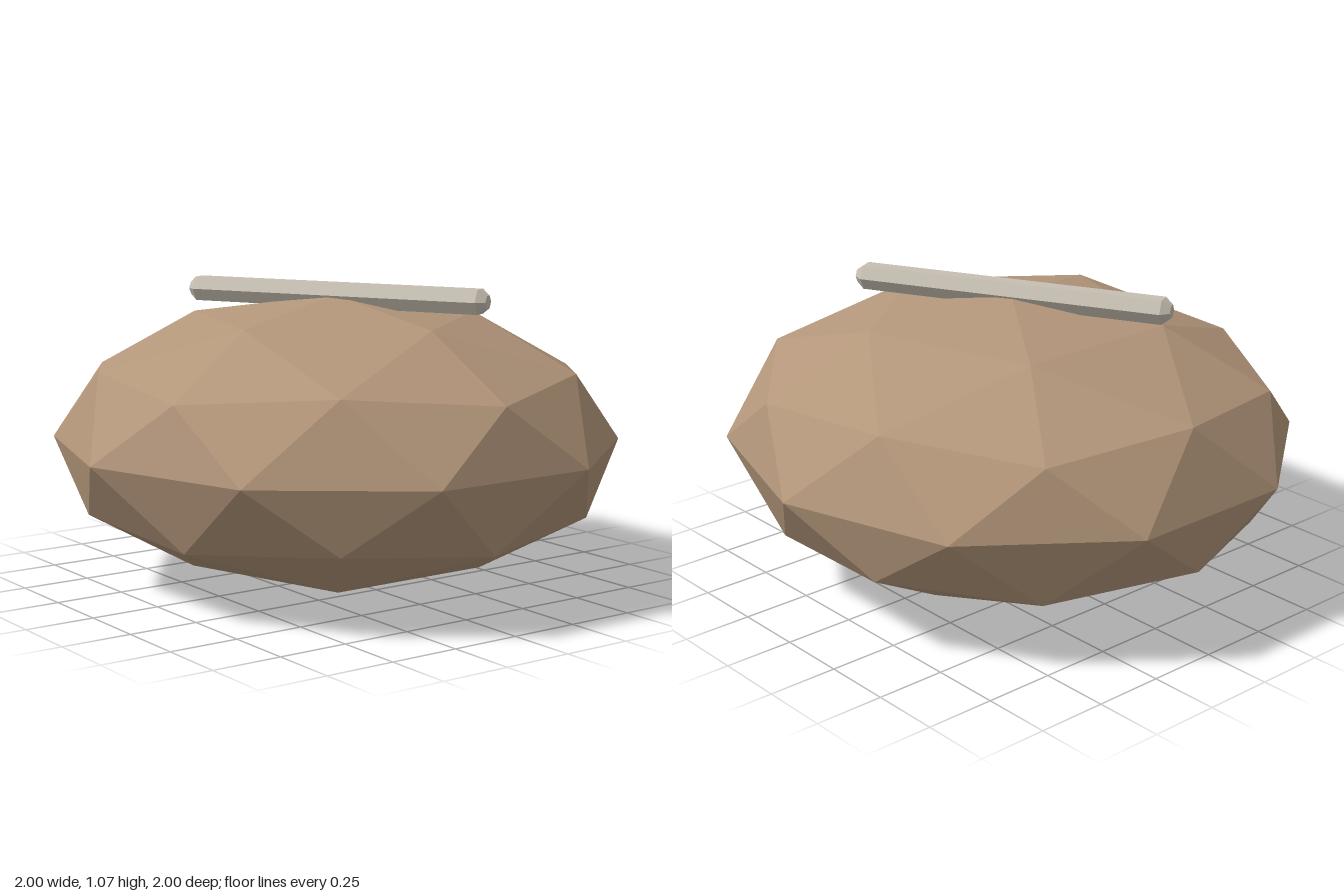
import * as THREE from 'three';

const stone = new THREE.MeshStandardMaterial({ color: 0xb3967a, flatShading: true });
stone.name = 'warm tan';
const pale = new THREE.MeshStandardMaterial({ color: 0xc6beb1, flatShading: true });
pale.name = 'pale grey';

export function createModel() {
  const group = new THREE.Group();
  group.name = 'stoneWithRod';

  // Flattened faceted body, turned so that a corner points straight up
  const phi = (1 + Math.sqrt(5)) / 2;
  const bodyGeo = new THREE.IcosahedronGeometry(1, 1);
  bodyGeo.rotateZ(-Math.atan(1 / phi));
  bodyGeo.scale(1 / Math.cos(Math.PI / 10), 0.515, 1);
  bodyGeo.computeVertexNormals();
  const body = new THREE.Mesh(bodyGeo, stone);
  body.name = 'body';
  body.position.y = 0.515;
  group.add(body);

  // Six-sided rod with chamfered ends, lying diagonally across the top
  const profile = [[0, -0.59], [0.025, -0.59], [0.05, -0.56], [0.05, 0.56], [0.025, 0.59], [0, 0.59]]
    .map(([r, y]) => new THREE.Vector2(r, y));
  const rodGeo = new THREE.LatheGeometry(profile, 6);
  rodGeo.rotateZ(Math.PI / 2);
  rodGeo.rotateY(THREE.MathUtils.degToRad(27.2));
  const rod = new THREE.Mesh(rodGeo, pale);
  rod.name = 'rod';
  rod.position.y = 1.03;
  group.add(rod);

  return group;
}
